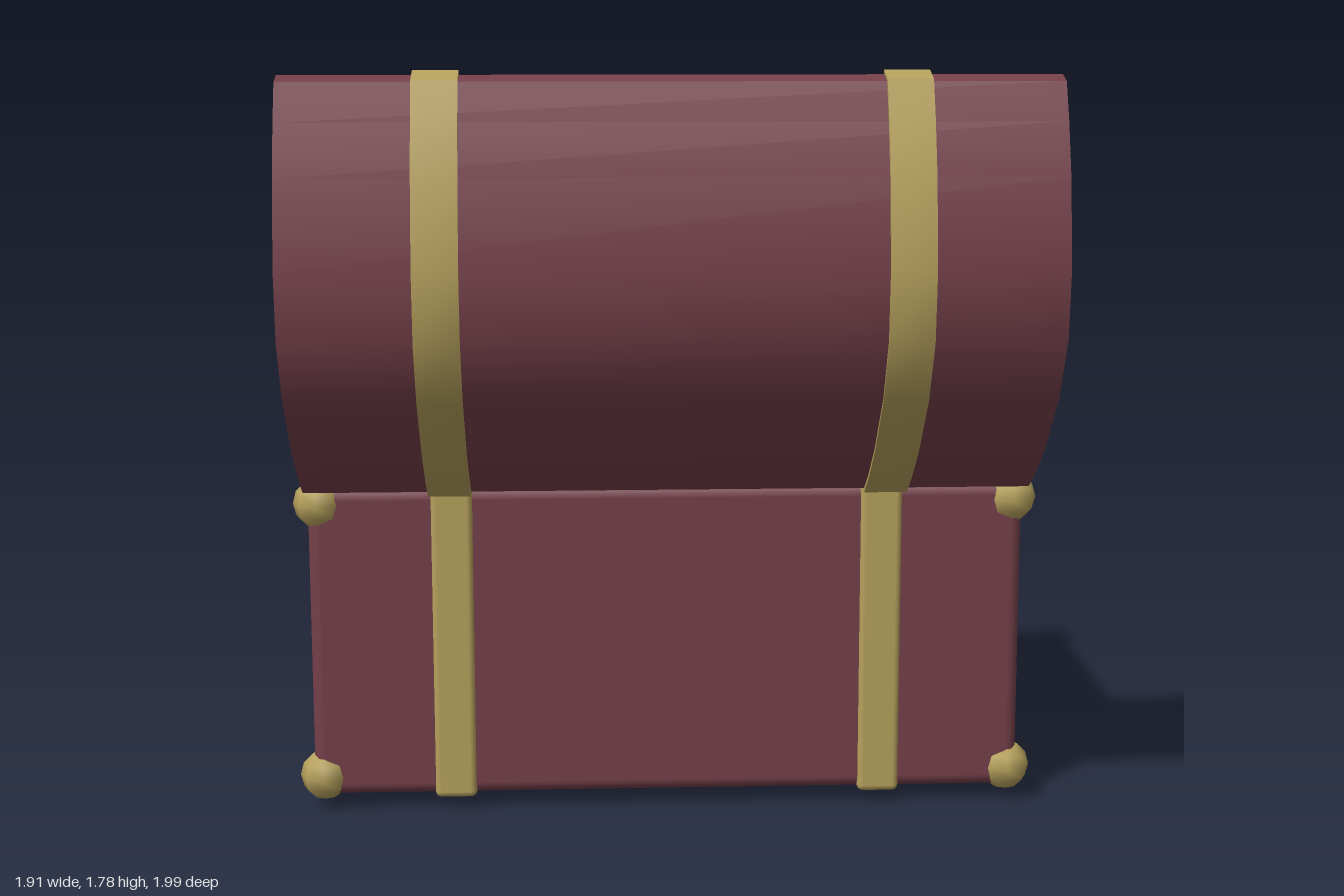
import * as THREE from 'three';
import { RoundedBoxGeometry } from 'three/addons/geometries/RoundedBoxGeometry.js';
import { toCreasedNormals } from 'three/addons/utils/BufferGeometryUtils.js';

const mat = (name, color) => {
  const m = new THREE.MeshStandardMaterial({ color });
  m.name = name;
  return m;
};

export function createModel() {
  const leather = mat('maroon leather', 0x75404a);
  const gold = mat('old gold', 0xb5a05c);
  const lining = mat('dark lining', 0x3f2628);
  const red = mat('ruby red', 0xa32431);
  const blue = mat('sapphire blue', 0x2a429c);
  const green = mat('emerald green', 0x1f7850);

  const model = new THREE.Group();
  model.name = 'treasureChest';
  const add = (parent, name, geometry, material, x = 0, y = 0, z = 0) => {
    const mesh = new THREE.Mesh(geometry, material);
    mesh.name = name;
    mesh.position.set(x, y, z);
    parent.add(mesh);
    return mesh;
  };

  // Chest body, centred a little to one side to leave room for the loose gem
  const chest = new THREE.Group();
  chest.name = 'chest';
  chest.position.x = -0.07;
  model.add(chest);
  add(chest, 'body', new RoundedBoxGeometry(1.7, 0.755, 1.02, 3, 0.03), leather, 0, 0.415, 0);
  add(chest, 'bodyLining', new THREE.BoxGeometry(1.59, 0.04, 0.9), lining, 0, 0.784, 0);
  add(chest, 'lockPlate', new RoundedBoxGeometry(0.165, 0.15, 0.04, 2, 0.012), gold, 0, 0.697, -0.52);

  // Lid: arched profile (height above rim, distance from hinge)
  const half = [[0, 0], [0.045, 0], [0.105, 0.07], [0.175, 0.17], [0.265, 0.345], [0.298, 0.5]];
  const profile = [...half, ...half.slice(0, -1).reverse().map(([n, u]) => [n, 1 - u])];
  const arch = (width, grow) => {
    const points = profile.map(([n, u]) => new THREE.Vector2(
      n === 0 ? -grow : n + grow, 0.5 + (u - 0.5) * (1 + 2 * grow)));
    const g = new THREE.ExtrudeGeometry(new THREE.Shape(points), { depth: width, bevelEnabled: false });
    g.translate(0, 0, -width / 2).rotateY(-Math.PI / 2);
    return toCreasedNormals(g, 0.65);
  };
  const lid = new THREE.Group();
  lid.name = 'lid';
  lid.position.set(0, 0.81, 0.53);
  lid.rotation.x = 0.3;
  chest.add(lid);
  add(lid, 'lidShell', arch(1.7, 0), leather);
  add(lid, 'lidLining', new THREE.BoxGeometry(1.63, 0.945, 0.05), lining, 0, 0.5, 0);

  // Straps, handles and corner caps
  const ring = new THREE.CatmullRomCurve3(Array.from({ length: 20 }, (_, i) => {
    const a = (i / 20) * Math.PI * 2;
    return new THREE.Vector3(0, 0.08 * Math.sin(a), 0.134 * Math.cos(a));
  }), true);
  for (const side of [-1, 1]) {
    add(chest, 'bodyStrap', new RoundedBoxGeometry(0.1, 0.768, 1.04, 2, 0.015), gold, side * 0.51, 0.415, 0);
    add(lid, 'lidStrap', arch(0.1, 0.008), gold, side * 0.51);
    add(chest, 'handle', new THREE.TubeGeometry(ring, 12, 0.02, 6, true), gold, side * 0.867, 0.51, 0);
    for (const z of [-0.475, 0.475])
      for (const y of [0.082, 0.752])
        add(chest, 'cornerCap', new THREE.SphereGeometry(0.06, 8, 6), gold, side * 0.826, y, z);
  }

  // Heap of gold
  const heap = new THREE.SphereGeometry(1, 14, 8, 0, Math.PI * 2, 0, Math.PI / 2);
  heap.scale(0.72, 0.172, 0.415);
  add(chest, 'goldHeap', heap, gold, 0, 0.8, 0);

  // Coins poking out of the heap: x, z
  const coin = new THREE.CylinderGeometry(0.033, 0.033, 0.009, 8);
  const heapCoins = [
    [-0.58, -0.23], [-0.5, -0.28], [-0.51, -0.125], [-0.475, 0.025], [-0.25, -0.315],
    [-0.16, -0.36], [0.13, -0.15], [0.465, -0.175], [0.36, -0.09], [0.44, 0.14],
    [0.31, 0.185], [0.025, 0.275], [-0.315, 0.305], [0.26, 0.065], [-0.14, 0.02],
  ];
  heapCoins.forEach(([x, z], i) => {
    const rise = Math.sqrt(Math.max(0, 1 - ((x + 0.07) / 0.72) ** 2 - (z / 0.415) ** 2));
    const c = add(model, 'heapCoin', coin, gold, x, 0.797 + 0.17 * rise, z);
    c.rotation.set(0.35 * Math.sin(i * 2.3), i, 0.35 * Math.cos(i * 1.7));
  });

  // Coins lying in front of the chest
  for (const [x, z] of [[-0.055, -0.968], [-0.04, -0.885], [-0.34, -0.837], [0.54, -0.855], [0.655, -0.915]])
    add(model, 'looseCoin', coin, gold, x, 0.038, z);

  // Gems: name, material, radius, x, y, z
  const gems = [
    ['ruby', red, 0.088, -0.09, 1.02, -0.055],
    ['ruby', red, 0.08, 0.225, 0.985, 0.02],
    ['sapphire', blue, 0.07, -0.07, 0.995, 0.1],
    ['sapphire', blue, 0.067, 0.085, 0.995, 0.08],
    ['sapphire', blue, 0.06, 0.15, 0.985, -0.015],
    ['sapphire', blue, 0.07, 0.375, 0.955, 0.01],
    ['emerald', green, 0.055, -0.135, 0.965, -0.19],
    ['emerald', green, 0.05, 0.08, 0.99, -0.105],
    ['nugget', gold, 0.064, 0.315, 0.93, -0.19],
  ];
  gems.forEach(([name, material, r, x, y, z], i) => {
    const gem = add(model, name, new THREE.IcosahedronGeometry(r), material, x, y, z);
    gem.rotation.set(i * 1.3, i * 0.8 + 0.4, i * 0.5);
  });

  // Loose emerald standing on its point
  const drop = new THREE.IcosahedronGeometry(0.1);
  drop.rotateZ(Math.atan(2 / (1 + Math.sqrt(5)))).scale(0.82, 1, 0.82);
  add(model, 'looseEmerald', drop, green, 0.88, 0.1, -0.785).rotation.y = 0.3;

  return model;
}
